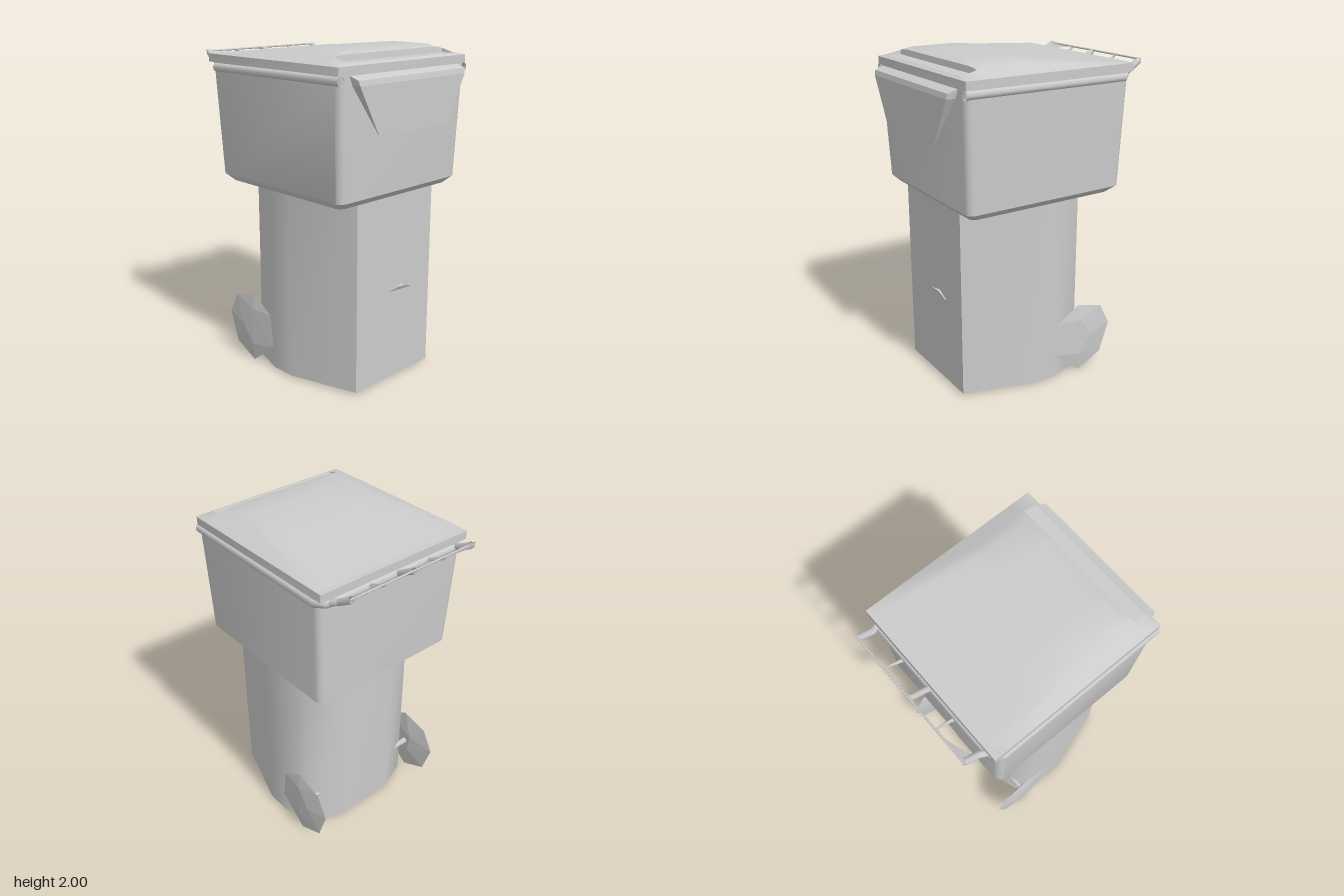
import * as THREE from 'three';
import { toCreasedNormals } from 'three/addons/utils/BufferGeometryUtils.js';
import { ConvexGeometry } from 'three/addons/geometries/ConvexGeometry.js';

const material = new THREE.MeshStandardMaterial({ color: 0xcccccc });
const thin = new THREE.MeshStandardMaterial({ color: 0xcccccc, side: THREE.DoubleSide });
const V = (x, y, z) => new THREE.Vector3(x, y, z);

function add(parent, name, geometry, mat = material) {
  const mesh = new THREE.Mesh(geometry, mat);
  mesh.name = name;
  parent.add(mesh);
  return mesh;
}

// Skin of equal-length rings, listed bottom to top, closed at both ends
function loft(rings, crease) {
  const n = rings[0].length, pos = [], index = [];
  rings.forEach(r => r.forEach(p => pos.push(p.x, p.y, p.z)));
  for (let k = 0; k < rings.length - 1; k++) {
    for (let i = 0; i < n; i++) {
      const j = (i + 1) % n, a = k * n + i, b = k * n + j;
      index.push(a, b, b + n, a, b + n, a + n);
    }
  }
  const top = (rings.length - 1) * n;
  for (let i = 1; i < n - 1; i++) {
    index.push(0, i + 1, i, top, top + i, top + i + 1);
  }
  const g = new THREE.BufferGeometry();
  g.setAttribute('position', new THREE.Float32BufferAttribute(pos, 3));
  g.setIndex(index);
  return toCreasedNormals(g, crease);
}

// Rounded rectangle at height y, anticlockwise from above
function roundedRing(y, x0, x1, z0, z1, r) {
  const ring = [];
  const corners = [[x1 - r, z1 - r], [x1 - r, z0 + r], [x0 + r, z0 + r], [x0 + r, z1 - r]];
  corners.forEach(([cx, cz], q) => {
    for (let s = 0; s <= 3; s++) {
      const a = (q - 1 + s / 3) * Math.PI / 2;
      ring.push(V(cx + r * Math.cos(a), y, cz - r * Math.sin(a)));
    }
  });
  return ring;
}

// Round bar through a few points
function bar(points, radius) {
  const path = new THREE.CurvePath();
  for (let i = 1; i < points.length; i++) path.add(new THREE.LineCurve3(points[i - 1], points[i]));
  return new THREE.TubeGeometry(path, 12 * (points.length - 1), radius, 8, false);
}

// Lid height: rises from the rim, falls to the back, with a finger groove at the front
function lidHeight(x, z) {
  if (Math.abs(x) < 0.44 && z > 0.48 && z < 0.57) return 1.95;
  const crown = z > 0.15 ? 2 : 2 - 0.065 * (0.15 - z) / 0.675;
  return Math.min(crown, 1.94 + 0.4 * Math.min(0.525 - Math.abs(x), 0.59 - z));
}

function lidTop() {
  const half = [0.37, 0.425, 0.438, 0.442, 0.47, 0.525];
  const xs = [...half.map(x => -x).reverse(), -0.2, 0, 0.2, ...half].sort((a, b) => a - b);
  const zs = [-0.525, -0.4, -0.2, 0, 0.15, 0.3, 0.43, 0.477, 0.482, 0.568, 0.572, 0.59];
  const g = new THREE.PlaneGeometry(1, 1, xs.length - 1, zs.length - 1);
  const p = g.attributes.position;
  for (let i = 0; i < p.count; i++) {
    const x = xs[i % xs.length], z = zs[Math.floor(i / xs.length)];
    p.setXYZ(i, x, lidHeight(x, z), z);
  }
  return toCreasedNormals(g, 0.5);
}

export function createModel() {
  const model = new THREE.Group();
  model.name = 'wheeledBin';

  // Lower body: flat front, tapering sides, rounded back
  const outline = [[0.32, 0.53], [0.455, 0.1], [0.455, -0.05], [0.4, -0.24], [0.2, -0.32]];
  const section = [...outline, ...outline.map(([x, z]) => [-x, z]).reverse()];
  const bodyRing = y => section.map(([x, z]) => V(x + 0.005, y, z));
  add(model, 'lowerBody', loft([bodyRing(0.01), bodyRing(1.18)], 1.0));

  // Small sliver in the front panel
  add(model, 'frontNotch', new ConvexGeometry([
    V(-0.05, 0.575, 0.53), V(0.15, 0.56, 0.53), V(0.06, 0.6, 0.53),
    V(0.02, 0.594, 0.545), V(0.08, 0.597, 0.545), V(0.14, 0.57, 0.54),
  ]));

  // Wide upper bin, flaring towards the rim
  add(model, 'upperBin', loft([
    roundedRing(1.165, -0.45, 0.46, -0.43, 0.53, 0.04),
    roundedRing(1.205, -0.485, 0.5, -0.48, 0.57, 0.04),
    roundedRing(1.84, -0.515, 0.52, -0.5, 0.59, 0.04),
    roundedRing(1.895, -0.515, 0.52, -0.5, 0.59, 0.04),
  ], 0.7));

  // Rim bars along the sides and back
  add(model, 'rimBar', bar([
    V(-0.51, 1.865, 0.59), V(-0.51, 1.86, -0.47), V(-0.46, 1.86, -0.51),
    V(0.46, 1.86, -0.51), V(0.51, 1.86, -0.47), V(0.51, 1.865, 0.59),
  ], 0.027), thin);

  // Lid: straight skirt with a crowned top
  const lid = new THREE.Group();
  lid.name = 'lid';
  model.add(lid);
  add(lid, 'lidSkirt', loft([
    roundedRing(1.89, -0.525, 0.525, -0.525, 0.59, 0.006),
    roundedRing(1.938, -0.525, 0.525, -0.525, 0.59, 0.006),
  ], 0.6));
  add(lid, 'lidTop', lidTop(), thin);

  // Front flap: a tapering wedge hanging from the rim
  const flap = [];
  for (const s of [-1, 1]) {
    flap.push(V(s * 0.285, 1.56, 0.657), V(s * 0.435, 1.84, 0.657), V(s * 0.44, 1.87, 0.65),
      V(s * 0.45, 1.89, 0.595), V(s * 0.44, 1.84, 0.605));
  }
  add(model, 'frontFlap', new ConvexGeometry(flap));

  // Rear handle: arms, ribs and a slender grip
  const handle = new THREE.Group();
  handle.name = 'rearHandle';
  model.add(handle);
  for (const s of [-1, 1]) {
    add(handle, 'handleArm', bar([
      V(s * 0.46, 1.86, -0.5), V(s * 0.435, 1.88, -0.56), V(s * 0.43, 1.93, -0.645),
    ], 0.02), thin);
    add(handle, 'handleRib', new ConvexGeometry([
      V(s * 0.21 - 0.012, 1.87, -0.54), V(s * 0.21 + 0.012, 1.87, -0.54), V(s * 0.21, 1.89, -0.54),
      V(s * 0.21, 1.94, -0.655), V(s * 0.21, 1.92, -0.65),
    ]));
  }
  add(handle, 'centreRib', bar([V(0, 1.86, -0.52), V(0, 1.93, -0.64)], 0.018), thin);
  add(handle, 'gripCorner', new ConvexGeometry([
    V(-0.45, 1.95, -0.655), V(-0.26, 1.93, -0.648), V(-0.44, 1.9, -0.58), V(-0.44, 1.91, -0.645),
  ]));
  for (const x of [-0.22, 0, 0.215, 0.435]) {
    const w = x === 0 ? 0.08 : 0.03;
    add(handle, 'gripPiece', new ConvexGeometry([
      V(x - w, 1.945, -0.65), V(x + w * 0.3, 1.945, -0.65), V(x, 1.915, -0.645), V(x, 1.935, -0.635),
    ]));
  }
  add(handle, 'grip', bar([V(-0.44, 1.938, -0.648), V(0.44, 1.938, -0.648)], 0.006), thin);

  // Rough faceted wheels
  const rim = [[-0.22, 0.455], [-0.4, 0.41], [-0.475, 0.27], [-0.41, 0.08],
    [-0.24, 0], [-0.05, 0.15], [-0.07, 0.36]];
  for (const s of [-1, 1]) {
    add(model, s > 0 ? 'leftWheel' : 'rightWheel', new ConvexGeometry([
      ...rim.map(([z, y]) => V(s * 0.463, y, z)),
      V(s * 0.484, 0.24, -0.32), V(s * 0.48, 0.36, -0.23), V(s * 0.48, 0.12, -0.23),
      V(s * 0.435, 0.3, -0.3), V(s * 0.435, 0.18, -0.28),
    ]));
  }

  // Axle between the wheels
  const axle = add(model, 'axle', new THREE.CylinderGeometry(0.02, 0.02, 0.9, 8));
  axle.rotation.z = Math.PI / 2;
  axle.position.set(0, 0.24, -0.25);

  return model;
}
